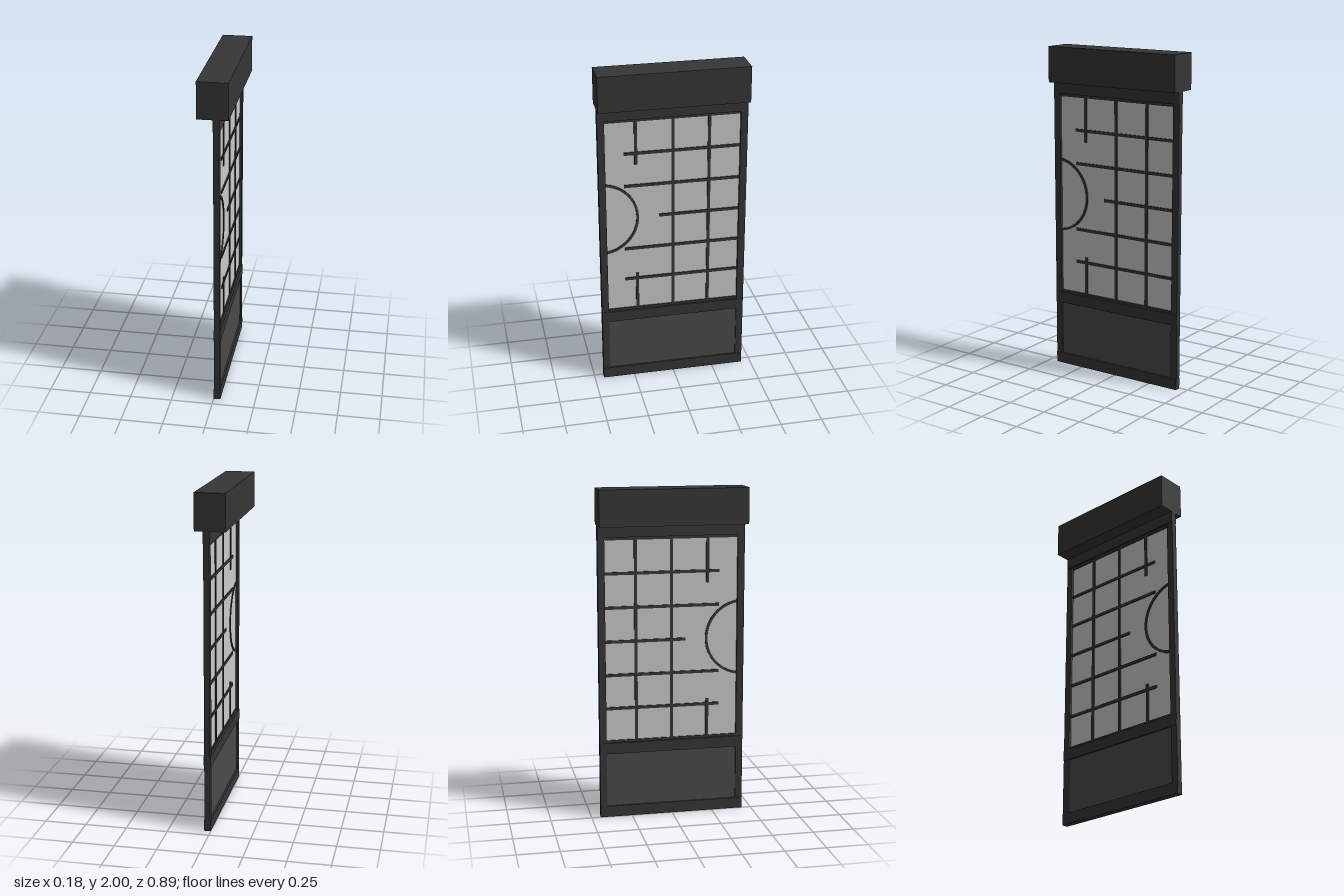
import * as THREE from 'three';

const wood = new THREE.MeshStandardMaterial({ color: 0x363636 });
const boardMat = new THREE.MeshStandardMaterial({ color: 0x4a4a4a });
const paperMat = new THREE.MeshStandardMaterial({ color: 0xcccccc });
const X = 0.02; // mid-plane of the door leaf

export function createModel() {
  const model = new THREE.Group();
  model.name = 'latticeDoor';

  // Box given by its depth in x and its extents in y and z
  const slab = (name, depth, y0, y1, z0, z1, mat = wood, x = X) => {
    const mesh = new THREE.Mesh(new THREE.BoxGeometry(depth, y1 - y0, z1 - z0), mat);
    mesh.position.set(x, (y0 + y1) / 2, (z0 + z1) / 2);
    mesh.name = name;
    model.add(mesh);
  };

  // Header beam
  slab('headerBeam', 0.178, 1.785, 2, -0.444, 0.444, wood, 0);

  // Stiles and rails
  slab('frontStile', 0.034, 0, 1.785, 0.402, 0.444);
  slab('backStile', 0.034, 0, 1.785, -0.444, -0.402);
  slab('topRail', 0.04, 1.715, 1.785, -0.443, 0.443);
  slab('middleRail', 0.04, 0.4, 0.467, -0.443, 0.443);
  slab('bottomRail', 0.04, 0, 0.067, -0.443, 0.443);

  // Lower board and paper screen
  slab('lowerBoard', 0.018, 0.067, 0.4, -0.402, 0.402, boardMat);
  slab('paperScreen', 0.004, 0.467, 1.715, -0.402, 0.402, paperMat);

  // Thin strips bordering the paper
  slab('topStrip', 0.018, 1.698, 1.715, -0.402, 0.402);
  slab('bottomStrip', 0.018, 0.467, 0.482, -0.402, 0.402);

  // Horizontal lattice bars; the middle one is shorter
  const t = 0.009;
  for (let i = -2; i <= 2; i++) {
    const y = 1.09 + i * 0.205;
    slab('horizontalBar', 0.016, y - t, y + t, -0.402, i === 0 ? 0.085 : 0.292);
  }

  // Vertical lattice bars: two full, two short stubs
  for (const [z, y0, y1] of [[0, 0.48, 1.7], [-0.217, 0.48, 1.7], [0.22, 1.43, 1.7], [0.22, 0.48, 0.715]])
    slab('verticalBar', 0.017, y0, y1, z - t, z + t);

  // Curved handle rim springing from the front stile
  const R = 0.231, r = 0.216, cut = 0.034; // cut: centre to stile edge
  const a = Math.acos(cut / R), b = Math.acos(cut / r);
  const rim = new THREE.Shape();
  rim.absarc(0, 0, R, -a, a, false);
  rim.absarc(0, 0, r, b, -b, true);
  const geo = new THREE.ExtrudeGeometry(rim, { depth: 0.016, bevelEnabled: false, curveSegments: 32 });
  geo.translate(0, 0, -0.008);
  const arc = new THREE.Mesh(geo, wood);
  arc.rotation.y = Math.PI / 2;
  arc.position.set(X, 1.09, 0.437);
  arc.name = 'curvedRim';
  model.add(arc);

  return model;
}
